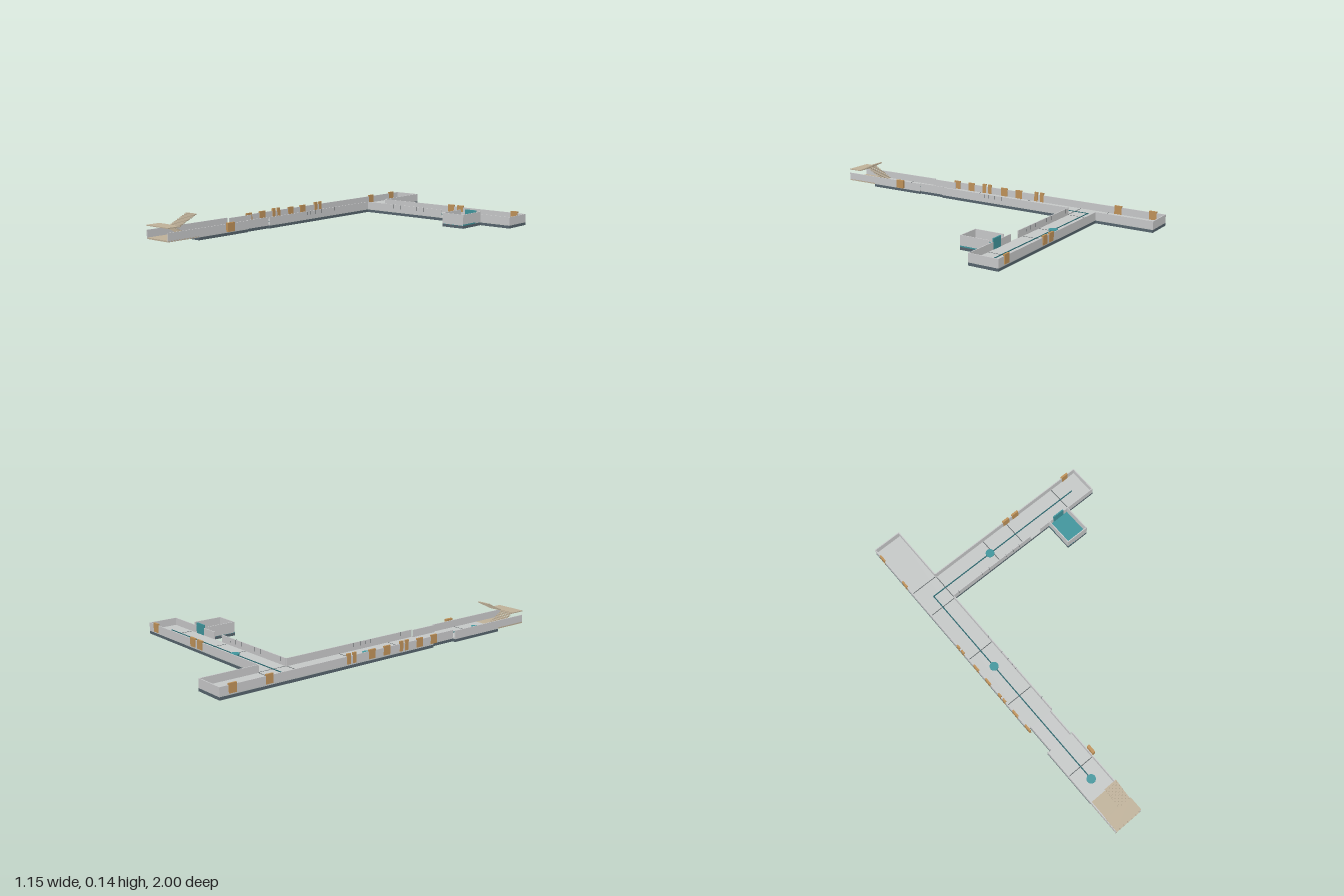
import * as THREE from 'three';

const mat = (name, color, side = THREE.FrontSide) => {
  const m = new THREE.MeshStandardMaterial({ color, side });
  m.name = name;
  return m;
};

export function createModel() {
  const model = new THREE.Group();
  model.name = 'corridorBuilding';
  const wallGrey = mat('wallGrey', 0xc9cacb);
  const floorGrey = mat('floorGrey', 0xc6c9c8);
  const slate = mat('slate', 0x56656e);
  const seamGrey = mat('seamGrey', 0x5c6264);
  const tan = mat('tan', 0xbfb199);
  const wood = mat('wood', 0xc0935a);
  const teal = mat('teal', 0x40969d);
  const darkTeal = mat('darkTeal', 0x28656c);

  // Box given by its limits on each axis
  const box = (name, m, x0, x1, y0, y1, z0, z1, parent = model) => {
    const mesh = new THREE.Mesh(new THREE.BoxGeometry(x1 - x0, y1 - y0, z1 - z0), m);
    mesh.position.set((x0 + x1) / 2, (y0 + y1) / 2, (z0 + z1) / 2);
    mesh.name = name;
    parent.add(mesh);
    return mesh;
  };
  const FLOOR = 0.022, TOP = 0.061, T = 0.005;
  const L = -0.575, R = -0.41, E = 0.575, B = -0.675, F = -0.51;

  // Foundation slabs with a floor plate on each: x0, x1, z0, z1
  const plots = [
    [L, R, -1, 0.31], [-0.557, -0.42, 0.31, 0.47], [L, R, 0.47, 0.805],
    [R, E, B, F], [0.255, 0.39, F, -0.345],
  ];
  plots.forEach(([x0, x1, z0, z1], i) => {
    box('foundation', slate, x0, x1, 0, 0.015, z0, z1);
    box('floor', i === 4 ? teal : floorGrey, x0, x1, 0.015, FLOOR, z0, z1);
  });
  box('stairwellFloor', tan, L, R, 0.015, FLOOR, 0.805, 1);

  // Walls along z (at x) and along x (at z)
  const wallZ = (x, z0, z1, top = TOP) => box('wall', wallGrey, x, x + T, 0.016, top, z0, z1);
  const wallX = (z, x0, x1, top = TOP) => box('wall', wallGrey, x0, x1, 0.016, top, z, z + T);
  wallZ(L, -1, 0.31);
  wallZ(-0.557, 0.31, 0.47);
  wallZ(L, 0.47, 1);
  wallZ(R - T, -1, B);
  wallZ(R - T, F, 0.31);
  wallZ(-0.42 - T, 0.31, 0.47);
  wallZ(R - T, 0.47, 1);
  wallX(-1, L, R);
  wallX(B, R, E);
  wallZ(E - T, B, F);
  wallX(F - T, R, 0.125);
  wallX(F - T, 0.195, 0.29);
  wallX(F - T, 0.36, E);

  // Side room
  wallZ(0.255, F, -0.345, 0.075);
  wallZ(0.39 - T, F, -0.345, 0.075);
  wallX(-0.345 - T, 0.255, 0.39, 0.075);
  box('roomDoor', teal, 0.29, 0.36, FLOOR, 0.078, F - 0.006, F + 0.001);

  // Thin window posts on the two inner walls
  for (const x of [-0.375, -0.215, -0.165, -0.05, 0, 0.045])
    box('windowPost', seamGrey, x - 0.001, x + 0.001, 0.038, TOP, F - T - 0.001, F + 0.001);
  for (const z of [0.23, 0.02, -0.01, -0.045, -0.095, -0.21])
    box('windowPost', seamGrey, R - T - 0.001, R + 0.001, 0.04, TOP, z - 0.001, z + 0.001);

  // Doors along the left-hand outer wall: centre z, width
  const sideDoors = [[0.31, 0.042], [0.21, 0.042], [0.12, 0.022], [0.083, 0.022],
    [-0.015, 0.042], [-0.112, 0.042], [-0.225, 0.022], [-0.262, 0.022],
    [-0.73, 0.042], [-0.93, 0.042]];
  for (const [z, w] of sideDoors)
    box('sideDoor', wood, L - 0.002, L + T + 0.002, FLOOR, w < 0.03 ? 0.075 : 0.069, z - w / 2, z + w / 2);
  // Doors along the back wall
  for (const x of [0.081, 0.145, 0.505])
    box('backDoor', wood, x - 0.021, x + 0.021, FLOOR, 0.07, B - 0.004, B + T + 0.002);
  box('openDoor', wood, -0.405, -0.39, FLOOR, 0.069, 0.58, 0.628);

  // Floor seams
  for (const z of [B, F, -0.185, 0.14, 0.632])
    box('floorSeam', seamGrey, L + T, R - T, FLOOR, FLOOR + 0.0006, z - 0.002, z + 0.002);
  for (const x of [R, -0.085, 0.08, 0.405])
    box('floorSeam', seamGrey, x - 0.002, x + 0.002, FLOOR, FLOOR + 0.0006, B + T, F - T);

  // Guide line with round markers
  box('guideLine', darkTeal, -0.494, -0.488, FLOOR, 0.0245, -0.593, 0.69);
  box('guideLine', darkTeal, -0.488, 0.49, FLOOR, 0.0245, -0.593, -0.587);
  for (const [x, z] of [[-0.1, -0.59], [-0.491, -0.07], [-0.491, 0.715]]) {
    const disc = new THREE.Mesh(new THREE.CylinderGeometry(0.024, 0.024, 0.005, 24), teal);
    disc.position.set(x, 0.0255, z);
    disc.name = 'floorMarker';
    model.add(disc);
  }

  // Two stair flights meeting at a landing
  const stairs = new THREE.Group();
  stairs.name = 'stairs';
  model.add(stairs);
  box('landing', tan, L, R, 0.081, 0.086, 0.92, 1, stairs);
  const flight = (x0, x1, yA, yB, zA, zB) => {
    const n = 10, dz = (zB - zA) / n;
    for (let i = 0; i < n; i++) {
      const y = yA + ((yB - yA) * (i + 1)) / n, z = zA + dz * i;
      box('step', tan, x0, x1, y - 0.005, y, Math.min(z, z + dz), Math.max(z, z + dz), stairs);
    }
  };
  flight(-0.57, -0.495, FLOOR, 0.083, 0.81, 0.92);
  flight(-0.489, -0.416, 0.085, 0.135, 0.92, 0.812);

  return model;
}
